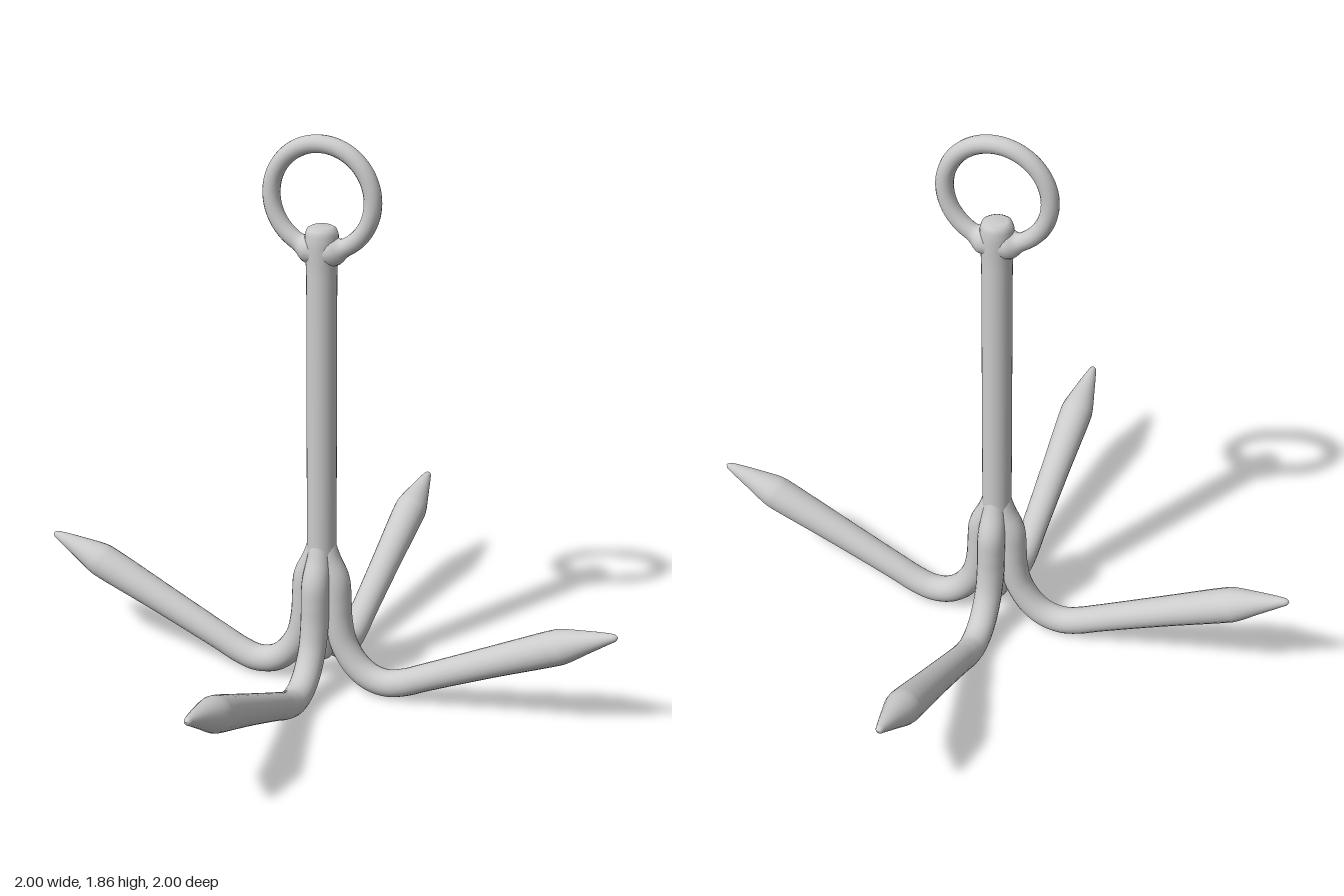
import * as THREE from 'three';

const material = new THREE.MeshStandardMaterial({ color: 0xcccccc });

// Sweep a round section along a planar curve; each curve point is (x, y, radius).
function sweep(curve, steps, sides) {
  const pos = [], index = [];
  for (let i = 0; i <= steps; i++) {
    const u = i / steps;
    const p = curve.getPoint(u);
    const t = curve.getTangent(u).setZ(0).normalize();
    const r = Math.max(p.z, 0.0005);
    for (let j = 0; j < sides; j++) {
      const a = (j / sides) * Math.PI * 2;
      const c = r * Math.cos(a);
      pos.push(p.x - t.y * c, p.y + t.x * c, r * Math.sin(a));
    }
  }
  for (let i = 0; i < steps; i++) {
    for (let j = 0; j < sides; j++) {
      const k = (j + 1) % sides;
      const a = i * sides + j, b = i * sides + k;
      index.push(a, b, a + sides, b, b + sides, a + sides);
    }
  }
  const g = new THREE.BufferGeometry();
  g.setAttribute('position', new THREE.Float32BufferAttribute(pos, 3));
  g.setIndex(index);
  g.computeVertexNormals();
  return g;
}

function add(parent, name, geometry) {
  const mesh = new THREE.Mesh(geometry, material);
  mesh.name = name;
  parent.add(mesh);
  return mesh;
}

export function createModel() {
  const group = new THREE.Group();
  group.name = 'grapplingHook';

  // Shank, slightly swollen at the eye and rounded at both ends
  const profile = [
    [0, 0.1], [0.03, 0.105], [0.044, 0.13], [0.048, 0.2], [0.048, 0.8], [0.048, 1.42],
    [0.05, 1.47], [0.053, 1.52], [0.052, 1.555], [0.046, 1.572], [0.034, 1.579], [0, 1.58],
  ].map(([x, y]) => new THREE.Vector2(x, y));
  add(group, 'shank', new THREE.LatheGeometry(profile, 32));

  // Ring through the eye, thickening where it blends into the shank
  const R = 0.168;
  const ringPoints = [];
  for (let i = 0; i < 72; i++) {
    const a = (i / 72) * Math.PI * 2;
    const d = Math.min(a, Math.PI * 2 - a);
    const r = 0.028 + 0.02 * (1 - THREE.MathUtils.smoothstep(d, 0.24, 0.5));
    ringPoints.push(new THREE.Vector3(R * Math.sin(a), 1.669 - R * Math.cos(a), r));
  }
  add(group, 'ring', sweep(new THREE.CatmullRomCurve3(ringPoints, true), 108, 16));

  // Four arms: shoulder on the shank, bend, straight run, swollen pointed fluke
  const armPath = new THREE.CatmullRomCurve3([
    [0.012, 0.53, 0.03], [0.025, 0.46, 0.04], [0.05, 0.39, 0.046], [0.056, 0.32, 0.046],
    [0.06, 0.25, 0.046], [0.08, 0.165, 0.045], [0.125, 0.095, 0.045], [0.175, 0.06, 0.045],
    [0.235, 0.05, 0.045], [0.295, 0.066, 0.045], [0.36, 0.096, 0.045], [0.58, 0.197, 0.05],
    [0.79, 0.291, 0.057], [0.82, 0.304, 0.056], [0.9, 0.336, 0.036], [0.97, 0.362, 0.017],
    [0.99, 0.368, 0.01], [0.998, 0.37, 0],
  ].map((p) => new THREE.Vector3(...p)));
  const armGeometry = sweep(armPath, 110, 20);
  ['leftArm', 'backArm', 'rightArm', 'frontArm'].forEach((name, i) => {
    add(group, name, armGeometry).rotation.y = (i * Math.PI) / 2;
  });

  return group;
}
